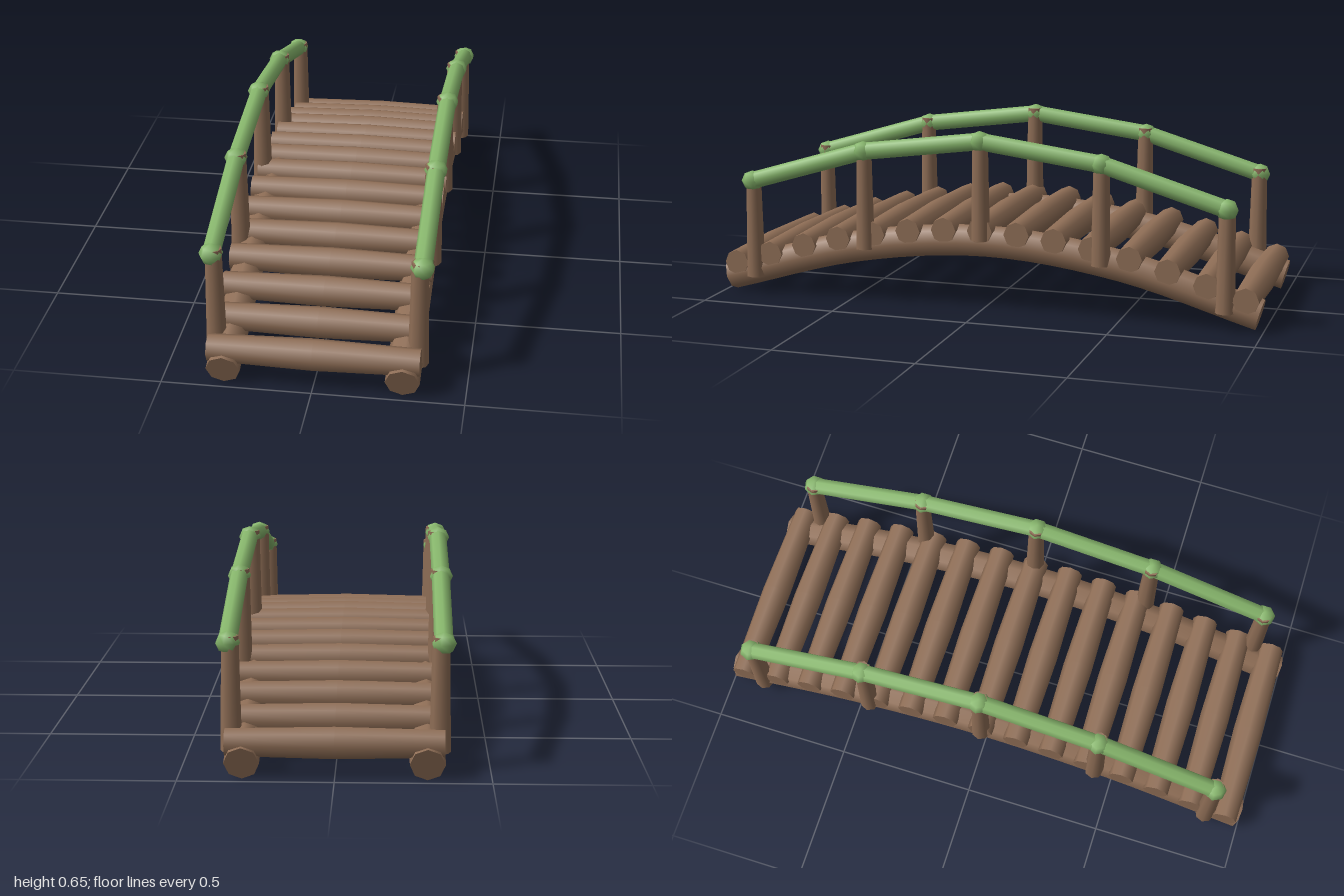
import * as THREE from 'three';

export function createModel() {
  const bridge = new THREE.Group();
  bridge.name = 'footbridge';
  const wood = new THREE.MeshStandardMaterial({ color: 0x8f6e56 });
  wood.name = 'brown wood';
  const green = new THREE.MeshStandardMaterial({ color: 0x86b56b });
  green.name = 'green rail';

  const add = (name, geometry, material, x, y, z) => {
    const mesh = new THREE.Mesh(geometry, material);
    mesh.name = name;
    mesh.position.set(x, y, z);
    bridge.add(mesh);
    return mesh;
  };

  // Shared arch line of the bridge
  const arch = new THREE.CatmullRomCurve3(
    [[0.058, -0.984], [0.195, -0.49], [0.248, 0], [0.195, 0.49], [0.058, 0.984]]
      .map(([y, z]) => new THREE.Vector3(0, y, z)));

  // Height of the arch at a given z
  const archY = (z) => {
    let lo = 0, hi = 1;
    for (let i = 0; i < 24; i++) {
      const mid = (lo + hi) / 2;
      if (arch.getPoint(mid).z < z) lo = mid; else hi = mid;
    }
    return arch.getPoint(lo).y;
  };

  // Two curved beams with closed ends
  const beamRadius = 0.057;
  const beamGeo = new THREE.TubeGeometry(arch, 24, beamRadius, 8);
  const capGeo = new THREE.CircleGeometry(beamRadius, 8);
  for (const side of [-1, 1]) {
    add('beam', beamGeo, wood, side * 0.295, 0, 0);
    for (const t of [0, 1]) {
      const p = arch.getPoint(t);
      const out = arch.getTangent(t).multiplyScalar(t ? 1 : -1);
      const cap = add('beamEnd', capGeo, wood, side * 0.295, p.y, p.z);
      cap.quaternion.setFromUnitVectors(new THREE.Vector3(0, 0, 1), out);
    }
  }

  // Deck logs, slightly thicker in the middle
  const logGeo = new THREE.CylinderGeometry(0.046, 0.046, 0.7, 8, 2);
  const pos = logGeo.attributes.position;
  for (let i = 0; i < pos.count; i++) {
    if (Math.abs(pos.getY(i)) < 0.01) {
      pos.setXYZ(i, pos.getX(i) * 1.17, 0, pos.getZ(i) * 1.17);
    }
  }
  logGeo.rotateZ(Math.PI / 2);
  for (let i = -7; i <= 7; i++) {
    const z = i * 0.1345;
    add('deckLog', logGeo, wood, 0, archY(z) + 0.045, z);
  }

  // Posts, rails and rail joints on both sides
  const joints = [[0.425, -0.87], [0.555, -0.435], [0.612, 0], [0.555, 0.435], [0.425, 0.87]];
  const bottoms = [0.067, 0.2, 0.26, 0.2, 0.067];
  const jointGeo = new THREE.SphereGeometry(0.041, 7, 4);
  for (const side of [-1, 1]) {
    const x = side * 0.344;
    joints.forEach(([y, z], i) => {
      const height = y + 0.022 - bottoms[i];
      add('post', new THREE.CylinderGeometry(0.028, 0.035, height, 8), wood,
        side * 0.336, bottoms[i] + height / 2, z);
      add('railJoint', jointGeo, green, x, y, z).scale.y = 0.9;
      if (i === 0) return;
      const a = new THREE.Vector3(x, ...joints[i - 1]);
      const b = new THREE.Vector3(x, y, z);
      const dir = b.clone().sub(a);
      const mid = a.clone().add(b).multiplyScalar(0.5);
      const rail = add('rail', new THREE.CylinderGeometry(0.031, 0.031, dir.length(), 8), green,
        mid.x, mid.y, mid.z);
      rail.quaternion.setFromUnitVectors(new THREE.Vector3(0, 1, 0), dir.normalize());
    });
  }
  return bridge;
}
